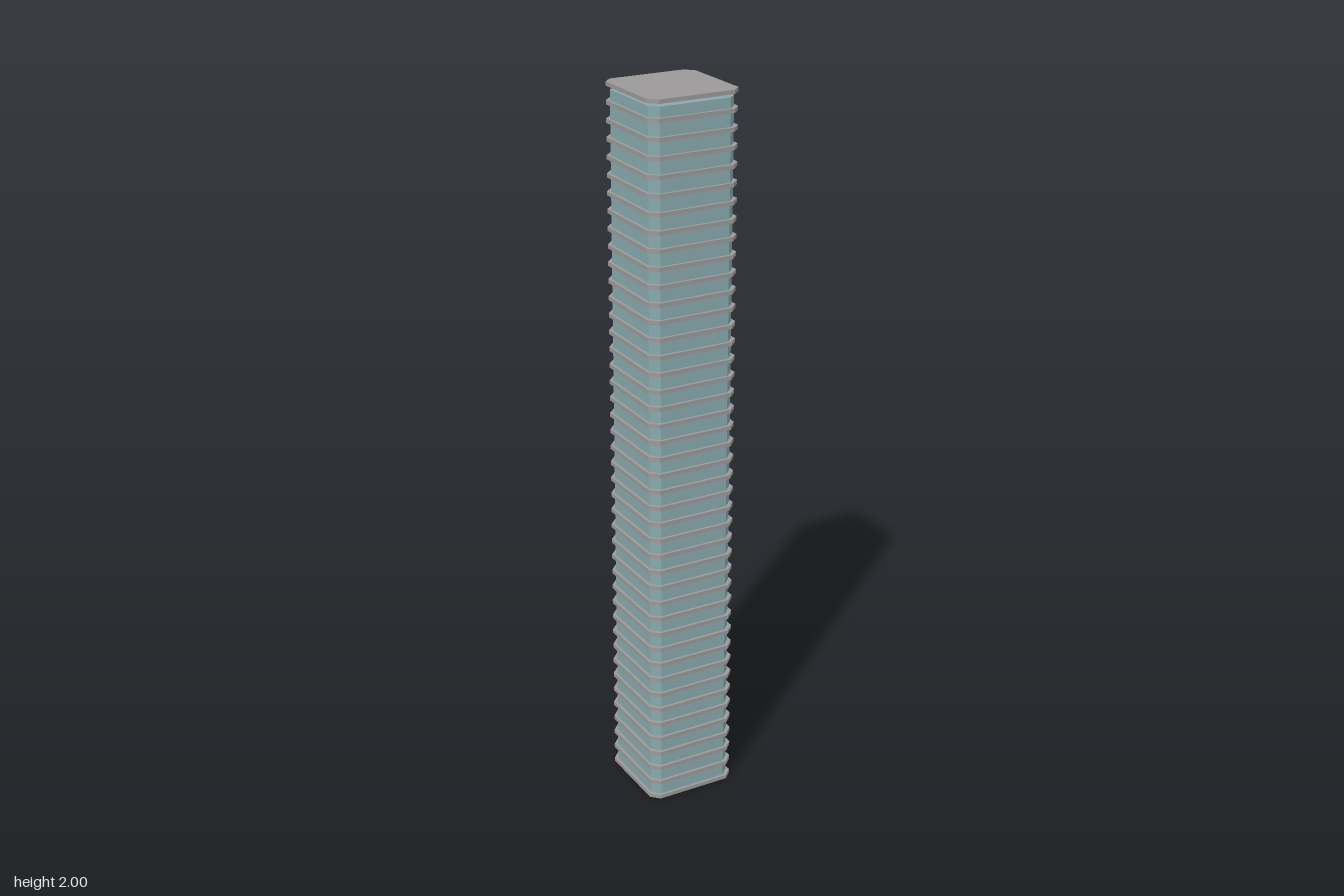
import * as THREE from 'three';

// Square prism with chamfered corners, standing on y = 0
function chamferedPrism(half, chamfer, height) {
  const a = half, b = half - chamfer;
  const outline = new THREE.Shape([
    [b, -a], [a, -b], [a, b], [b, a], [-b, a], [-a, b], [-a, -b], [-b, -a],
  ].map(([x, y]) => new THREE.Vector2(x, y)));
  const geometry = new THREE.ExtrudeGeometry(outline, { depth: height, bevelEnabled: false });
  return geometry.rotateX(-Math.PI / 2);
}

export function createModel() {
  const tower = new THREE.Group();
  tower.name = 'tower';
  const glass = new THREE.MeshStandardMaterial({ color: 0x86a8ac });
  const concrete = new THREE.MeshStandardMaterial({ color: 0x9a9898 });

  // Glazed core, ending just below the roof slab
  const core = new THREE.Mesh(chamferedPrism(0.122, 0.022, 1.979), glass);
  core.name = 'glazedCore';
  core.position.y = 0.001;
  tower.add(core);

  // Evenly spaced floor slabs, the last one being the roof
  const floors = 42, thickness = 0.011;
  const slabGeometry = chamferedPrism(0.13, 0.023, thickness);
  const slabs = new THREE.Group();
  slabs.name = 'floorSlabs';
  for (let i = 0; i <= floors; i++) {
    const slab = new THREE.Mesh(slabGeometry, concrete);
    slab.name = i === floors ? 'roofSlab' : `floorSlab${i + 1}`;
    slab.position.y = (i * (2 - thickness)) / floors;
    slabs.add(slab);
  }
  tower.add(slabs);
  return tower;
}
